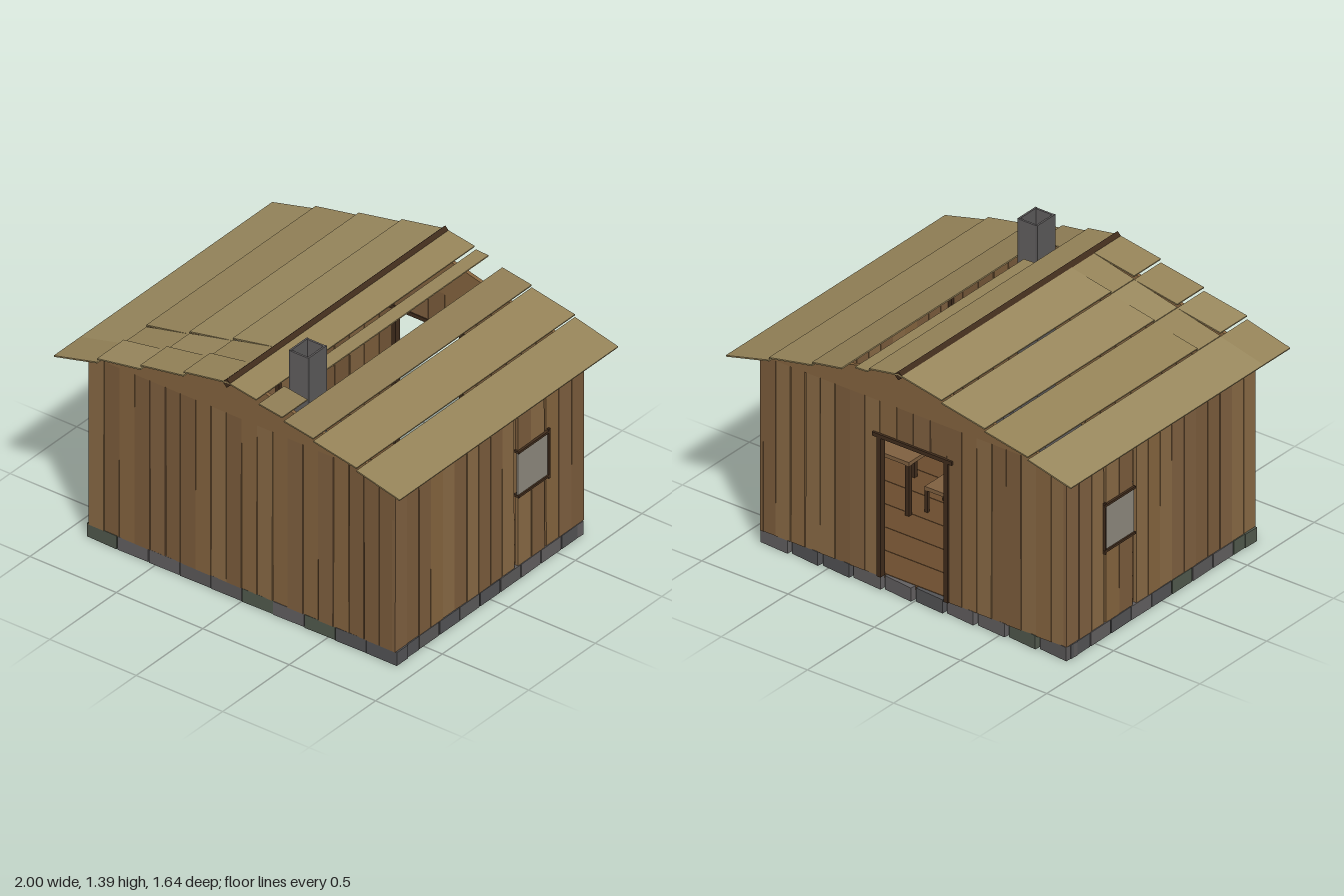
import * as THREE from 'three';

const mat = (color) => new THREE.MeshStandardMaterial({ color });
const WOOD = [0x86653f, 0x806040, 0x8a6a45, 0x7c5d3c].map(mat);
const ROOF = [0x968459, 0x8f7d55, 0x9a895e].map(mat);
const STONE = [0x5c5a5a, 0x545456, 0x636061, 0x525a4e].map(mat);
const DARK = mat(0x402c1c);
const FLOOR = mat(0x6b4c2e);
const PANE = mat(0x8f8a7e);

export function createModel() {
  const model = new THREE.Group();
  let seed = 7;
  const rand = () => (seed = (seed * 16807) % 2147483647) / 2147483647;
  const pick = (list) => list[Math.floor(rand() * list.length)];

  const group = (name, parent = model) => {
    const g = new THREE.Group();
    g.name = name;
    parent.add(g);
    return g;
  };
  // Box given by its limits on each axis
  const box = (parent, name, material, x0, x1, y0, y1, z0, z1) => {
    const m = new THREE.Mesh(new THREE.BoxGeometry(x1 - x0, y1 - y0, z1 - z0), material);
    m.position.set((x0 + x1) / 2, (y0 + y1) / 2, (z0 + z1) / 2);
    m.name = name;
    parent.add(m);
    return m;
  };
  // Upright plank along local x, slightly tapered at its top or foot
  const plank = (parent, u0, u1, y0, y1) => {
    const m = box(parent, 'plank', pick(WOOD), u0, u1, y0, y1, -0.02, -rand() * 0.004);
    const p = m.geometry.attributes.position;
    const top = 1 - rand() * 0.07, foot = 1 - rand() * 0.07;
    for (let i = 0; i < p.count; i++) p.setX(i, p.getX(i) * (p.getY(i) > 0 ? top : foot));
    m.geometry.computeVertexNormals();
  };
  const run = (parent, u0, u1, n, y0 = 0.07, y1 = 1) => {
    const w = (u1 - u0) / n;
    for (let i = 0; i < n; i++) plank(parent, u0 + i * w, u0 + (i + 1) * w, y0, y1);
  };

  // Stone footing around all four sides
  const footing = group('footing');
  const stone = (x, z, w, d, tilt) => {
    const m = box(footing, 'footingStone', pick(STONE), x - w / 2, x + w / 2, 0, 0.072, z - d / 2, z + d / 2);
    m.rotation.y = tilt;
  };
  for (let i = 0; i < 10; i++) {
    const x = -0.81 + i * 0.18;
    stone(x, 0.665, 0.175, 0.085, (rand() - 0.5) * 0.06);
    stone(x, -0.665, 0.165, 0.075, -0.12 + rand() * 0.06);
  }
  for (let i = 0; i < 9; i++) for (const s of [-1, 1])
    stone(s * 0.85, 0.61 - i * 0.1525, 0.085, 0.146, (rand() - 0.5) * 0.04);

  // Floor boards
  const floor = group('floor');
  for (let i = 0; i < 8; i++) {
    const z = -0.68 + i * 0.17;
    box(floor, 'floorBoard', FLOOR, -0.87, 0.87, 0.05, 0.075, z, z + 0.167);
  }

  // Front wall
  const front = group('frontWall');
  front.position.z = 0.71;
  run(front, -0.885, 0.885, 20);

  // Back wall with doorway
  const back = group('backWall');
  back.position.z = -0.71;
  back.rotation.y = Math.PI;
  run(back, -0.885, -0.195, 8);
  run(back, 0.195, 0.885, 8);
  run(back, -0.195, 0.195, 4, 0.81, 1);
  const frame = group('doorFrame', back);
  for (const s of [-1, 1])
    box(frame, 'doorPost', DARK, s * 0.195 - 0.012, s * 0.195 + 0.012, 0.07, 0.82, -0.025, 0.008);
  box(frame, 'doorLintel', DARK, -0.23, 0.23, 0.805, 0.825, -0.025, 0.01);

  // Gables
  for (const [name, z] of [['frontGable', 0.69], ['backGable', -0.71]]) {
    const shape = new THREE.Shape([
      new THREE.Vector2(-0.885, 0.995), new THREE.Vector2(0.885, 0.995), new THREE.Vector2(0, 1.222)]);
    const m = new THREE.Mesh(new THREE.ExtrudeGeometry(shape, { depth: 0.02, bevelEnabled: false }), WOOD[0]);
    m.position.z = z;
    m.name = name;
    model.add(m);
  }

  // Side walls; s = 1 is the +x side, local x of each wall follows z
  for (const s of [-1, 1]) {
    const wall = group(s > 0 ? 'leftWall' : 'rightWall');
    wall.position.x = s * 0.89;
    wall.rotation.y = s * Math.PI / 2;
    const span = (za, zb, n, y0, y1) => run(wall, Math.min(-s * za, -s * zb), Math.max(-s * za, -s * zb), n, y0, y1);
    span(0.71, -0.188, 10);
    span(-0.425, -0.71, 3);
    span(-0.212, -0.415, 2, 0.07, 0.46);
    span(-0.212, -0.415, 2, 0.69, 1);
    const win = group('window', wall);
    const c = s * 0.32;
    box(win, 'pane', PANE, c - 0.11, c + 0.11, 0.46, 0.69, -0.008, 0.002);
    for (const y of [0.455, 0.695])
      box(win, 'windowRail', DARK, c - 0.115, c + 0.115, y - 0.006, y + 0.006, -0.02, 0.01);
    box(win, 'windowStile', DARK, c + s * 0.113, c + s * 0.113 + 0.01, 0.44, 0.71, -0.02, 0.01);
  }

  // Dark posts in the inner corners
  for (const x of [-0.86, 0.86]) for (const z of [-0.685, 0.685])
    box(model, 'cornerPost', DARK, x - 0.012, x + 0.012, 0.07, 1, z - 0.012, z + 0.012);

  // Roof boards, each lower edge lifted over the next board
  const roof = group('roof');
  const slope = (x) => 1.25 - 0.25 * x;
  const roofBoard = (s, x0, x1, z0, z1, lift = 0.014) => {
    const ya = slope(x0), yb = slope(x1) + (x1 < 0.99 ? lift : 0);
    const len = Math.hypot(x1 - x0, yb - ya);
    const m = new THREE.Mesh(new THREE.BoxGeometry(len, 0.007, z1 - z0), pick(ROOF));
    m.position.set(s * (x0 + x1) / 2, (ya + yb) / 2, (z0 + z1) / 2);
    m.rotation.z = s * Math.atan2(yb - ya, x1 - x0);
    m.name = 'roofBoard';
    roof.add(m);
  };
  for (let i = 0; i < 4; i++) {
    const x0 = i * 0.25, x1 = x0 + 0.25;
    roofBoard(-1, x0, x1, -0.82, 0.45);
    roofBoard(-1, x0, x1, 0.45, 0.62, 0.004);
    roofBoard(-1, x0, x1, 0.62, 0.82, 0.02);
  }
  // The +x slope is open along a missing board and around the chimney
  roofBoard(1, 0, 0.17, -0.82, 0.82);
  roofBoard(1, 0.178, 0.25, -0.82, 0.44);
  roofBoard(1, 0.185, 0.32, 0.63, 0.82);
  roofBoard(1, 0.33, 0.5, -0.82, 0.82);
  roofBoard(1, 0.5, 0.75, -0.82, 0.82);
  roofBoard(1, 0.75, 1, -0.82, 0.82);

  // Ridge cap
  const ridge = new THREE.Mesh(new THREE.BoxGeometry(0.034, 0.034, 1.64), DARK);
  ridge.rotation.z = Math.PI / 4;
  ridge.position.y = 1.245;
  ridge.name = 'ridgeCap';
  model.add(ridge);

  // Fireplace with open hearth and hollow flue
  const hearth = group('fireplace');
  box(hearth, 'hearthSlab', STONE[1], 0.1, 0.39, 0.075, 0.1, 0.38, 0.68);
  box(hearth, 'hearthBack', STONE[0], 0.1, 0.39, 0.1, 0.4, 0.64, 0.68);
  for (const x of [0.1, 0.345]) box(hearth, 'hearthSide', STONE[2], x, x + 0.045, 0.1, 0.4, 0.41, 0.64);
  for (const x of [0.19, 0.295]) box(hearth, 'flueSide', STONE[0], x, x + 0.01, 0.38, 1.39, 0.465, 0.6);
  for (const z of [0.465, 0.59]) box(hearth, 'flueFace', STONE[2], 0.2, 0.295, 0.38, 1.388, z, z + 0.01);
  for (const z of [0.41, 0.6]) box(hearth, 'mantel', STONE[1], 0.1, 0.39, 0.38, 0.4, z, z + 0.055);

  // Table and chair
  const furniture = (name, x0, x1, z0, z1, top, leg) => {
    const g = group(name);
    box(g, name + 'Top', WOOD[1], x0, x1, top - 0.02, top, z0, z1);
    for (const x of [x0, x1 - leg]) for (const z of [z0, z1 - leg])
      box(g, name + 'Leg', DARK, x, x + leg, 0.075, top - 0.02, z, z + leg);
    return g;
  };
  furniture('table', 0.42, 0.64, -0.2, 0.12, 0.36, 0.022);
  const chair = furniture('chair', 0.265, 0.39, -0.12, 0.03, 0.21, 0.016);
  for (const z of [-0.12, 0.014]) box(chair, 'chairPost', DARK, 0.265, 0.281, 0.21, 0.38, z, z + 0.016);
  box(chair, 'chairBack', WOOD[2], 0.268, 0.278, 0.31, 0.37, -0.104, 0.014);

  return model;
}
